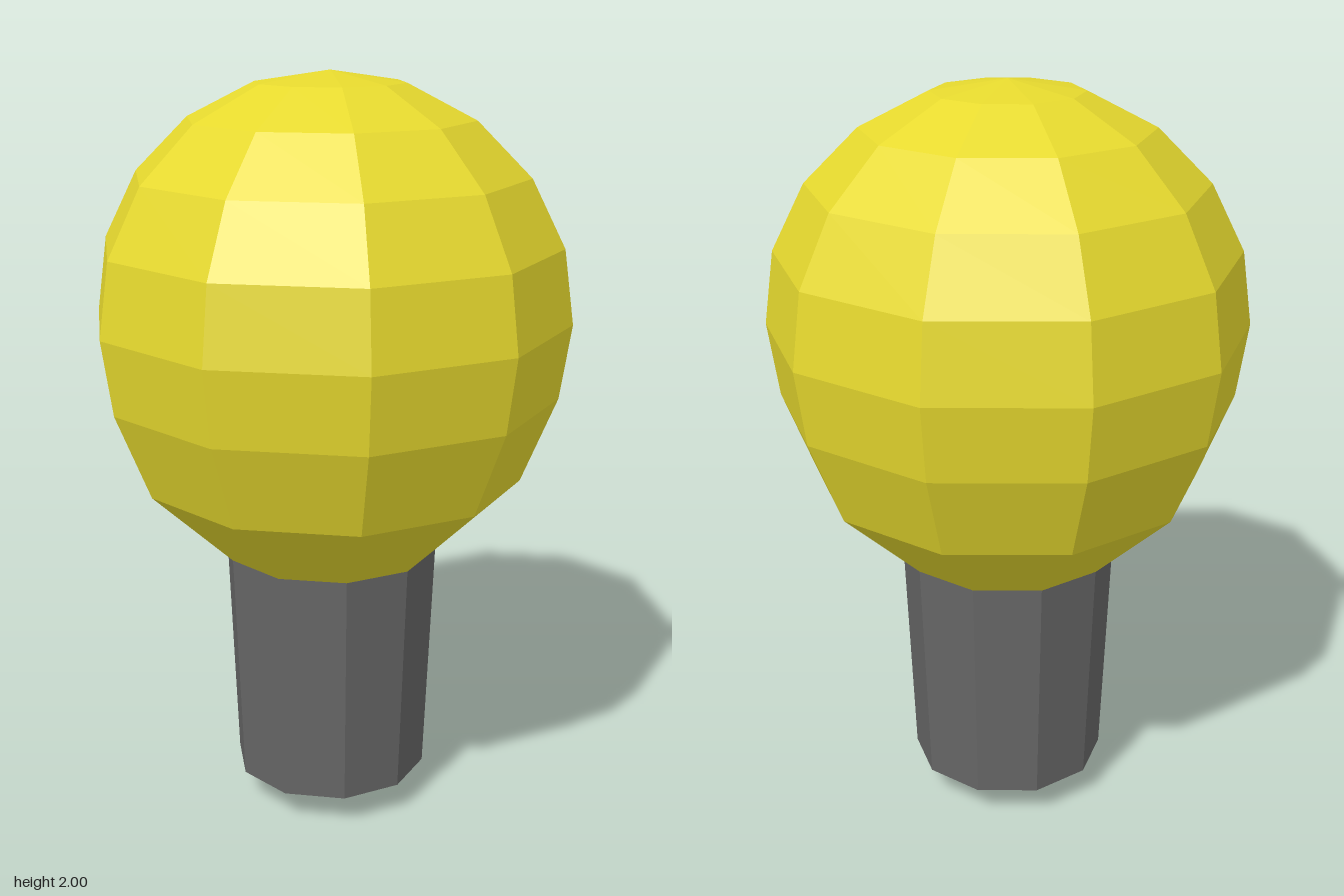
import * as THREE from 'three';

const SIDES = 10;

// Faceted solid of revolution from [radius, height] pairs, bottom to top
function turned(name, profile, color) {
  const points = profile.map(([r, y]) => new THREE.Vector2(r, y));
  const material = new THREE.MeshStandardMaterial({ color, flatShading: true });
  const mesh = new THREE.Mesh(new THREE.LatheGeometry(points, SIDES), material);
  mesh.name = name;
  return mesh;
}

export function createModel() {
  const model = new THREE.Group();
  model.name = 'lightBulb';

  // Tapered socket with a shallow rounded tip
  model.add(turned('socket', [
    [0, 0], [0.142, 0.027], [0.265, 0.09], [0.29, 0.732],
  ], 0x666666));

  // Glass globe narrowing to the neck
  model.add(turned('bulb', [
    [0.29, 0.732], [0.511, 0.943], [0.603, 1.173], [0.631, 1.37], [0.603, 1.565],
    [0.514, 1.74], [0.373, 1.88], [0.195, 1.97], [0, 2],
  ], 0xe6d92e));

  return model;
}
